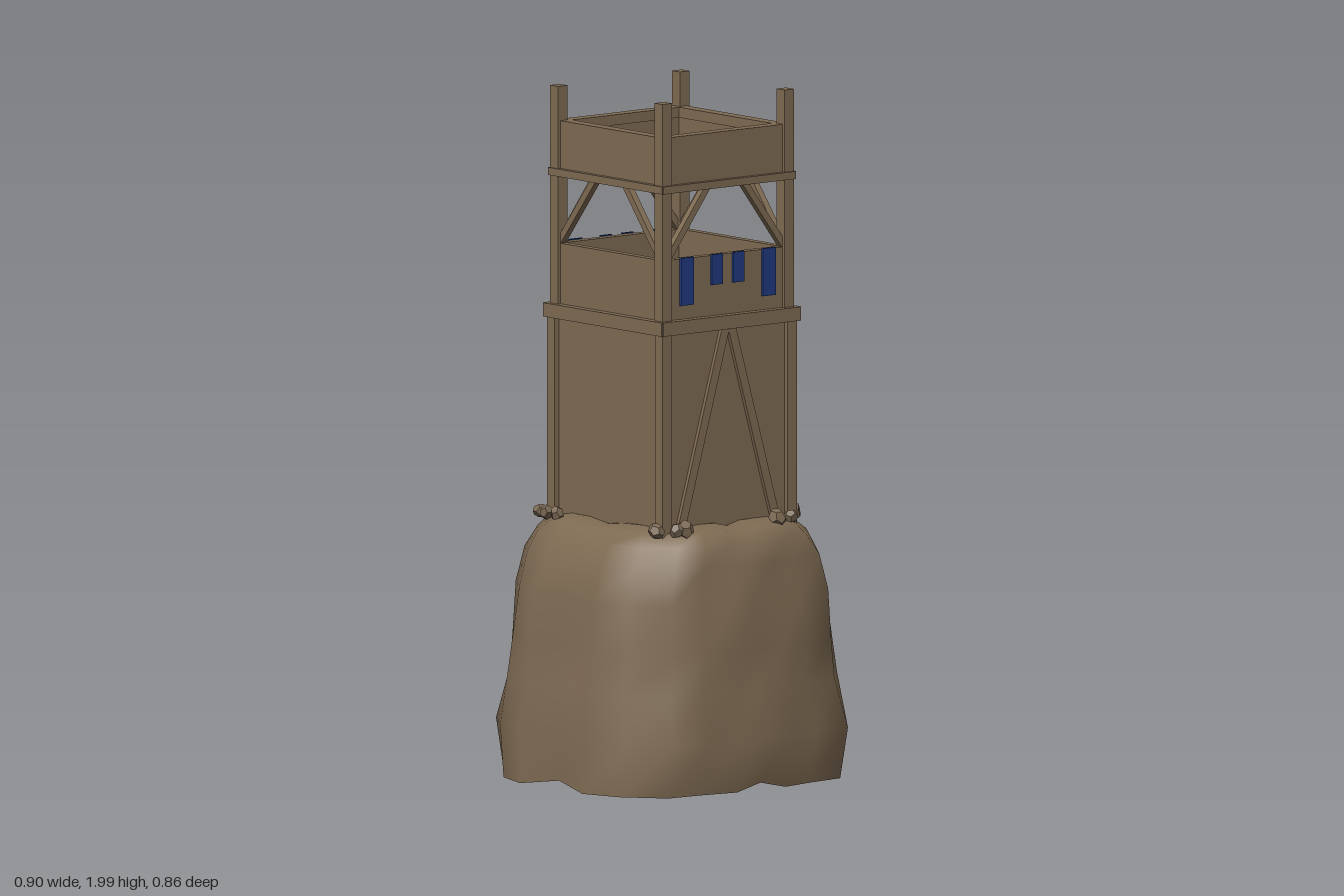
import * as THREE from 'three';

const wood = new THREE.MeshStandardMaterial({ color: 0x7f6b53 });
wood.name = 'brown timber';
const earth = new THREE.MeshStandardMaterial({ color: 0x7f6b53, side: THREE.DoubleSide });
earth.name = 'brown earth';
const stone = new THREE.MeshStandardMaterial({ color: 0x7a6853, flatShading: true });
stone.name = 'brown stone';
const cloth = new THREE.MeshStandardMaterial({ color: 0x1f3a80 });
cloth.name = 'blue cloth';

// Box given by its limits on each axis
function block(parent, name, x0, x1, y0, y1, z0, z1, mat = wood) {
  const m = new THREE.Mesh(new THREE.BoxGeometry(x1 - x0, y1 - y0, z1 - z0), mat);
  m.position.set((x0 + x1) / 2, (y0 + y1) / 2, (z0 + z1) / 2);
  m.name = name;
  parent.add(m);
}

// Slanted timber in a plane of constant z
function beam(parent, name, x0, y0, x1, y1, z, width, depth) {
  const m = new THREE.Mesh(
    new THREE.BoxGeometry(width, Math.hypot(x1 - x0, y1 - y0), depth), wood);
  m.position.set((x0 + x1) / 2, (y0 + y1) / 2, z);
  m.rotation.z = -Math.atan2(x1 - x0, y1 - y0);
  m.name = name;
  parent.add(m);
}

// Rocky hill: one mirrored outline, scaled level by level
function createHill() {
  const q = [[0.42, 0], [0.45, 0.15], [0.41, 0.28], [0.32, 0.395], [0.2, 0.408], [0.09, 0.43], [0, 0.425]];
  const r = [...q].reverse();
  const outline = [
    ...q,
    ...r.slice(1).map(([x, z]) => [-x, z]),
    ...q.slice(1).map(([x, z]) => [-x, -z]),
    ...r.slice(1, 6).map(([x, z]) => [x, -z]),
  ];
  const levels = [ // height, x scale, z scale
    [0.01, 1, 0.935], [0.16, 1, 1], [0.3, 0.965, 0.91], [0.42, 0.915, 0.935], [0.56, 0.905, 0.88],
    [0.66, 0.83, 0.85], [0.72, 0.745, 0.81], [0.755, 0.67, 0.73], [0.77, 0.57, 0.6],
  ];
  const n = outline.length, pos = [], index = [];
  levels.forEach(([y, sx, sz], i) => outline.forEach(([x, z], j) => {
    const ripple = i === 0 ? 1 : 1 + 0.012 * Math.sin(j * 2.1 + i * 1.7);
    const middle = Math.min(Math.abs(x), Math.abs(z)) < 0.01;
    const lift = middle ? (i === 0 ? 0.02 : i > 6 ? -0.012 : 0) : 0;
    pos.push(x * sx * ripple, y + lift, z * sz * ripple);
  }));
  pos.push(0, 0.755, 0);
  const last = levels.length - 1;
  for (let j = 0; j < n; j++) {
    const k = (j + 1) % n;
    for (let i = 0; i < last; i++) {
      const a = i * n + j, b = i * n + k;
      index.push(a, a + n, b, b, a + n, b + n);
    }
    index.push(last * n + j, n * levels.length, last * n + k);
  }
  const g = new THREE.BufferGeometry();
  g.setAttribute('position', new THREE.Float32BufferAttribute(pos, 3));
  g.setIndex(index);
  g.computeVertexNormals();
  const hill = new THREE.Mesh(g, earth);
  hill.name = 'hill';
  return hill;
}

// One face of the tower, half width w, at distance d from the axis
function createSide(w, d, decorated) {
  const g = new THREE.Group();
  const p = w - 0.035;
  block(g, 'lowerWall', -p, p, 0.7, decorated ? 1.335 : 1.325, d - 0.035, d - 0.015);
  block(g, 'middleBand', -w - 0.006, w + 0.006, 1.33, 1.37, d - 0.022, d + 0.01);
  block(g, 'middleWall', -p, p, 1.37, 1.545, d - 0.04, d - 0.015);
  block(g, 'upperBand', -w + 0.004, w - 0.004, 1.74, 1.762, d - 0.035, d);
  block(g, 'upperWall', -p, p, 1.76, 1.9, d - 0.04, d - 0.015);
  block(g, 'upperRail', -p, p, 1.87, 1.9, d - 0.052, d - 0.035);
  for (const s of [-1, 1]) {
    beam(g, 'upperBrace', s * (w - 0.035), 1.55, s * 0.065, 1.75, d - 0.025, 0.02, 0.02);
    if (!decorated) continue;
    beam(g, 'lowerBrace', s * 0.18, 0.75, s * 0.012, 1.33, d - 0.012, 0.028, 0.016);
    // Banners hang over the wall, long ones outside
    const z = d - 0.015;
    const a = s < 0 ? -0.175 : 0.13;
    block(g, 'longBanner', a, a + 0.047, 1.41, 1.548, z, z + 0.008, cloth);
    const b = s < 0 ? -0.06 : 0.02;
    block(g, 'shortBanner', b, b + 0.041, 1.46, 1.548, z, z + 0.008, cloth);
  }
  return g;
}

// Small stones around the foot of the tower: x, z, size
function createRocks() {
  const g = new THREE.Group();
  g.name = 'rocks';
  const spots = [
    [-0.265, -0.27, 0.022], [-0.272, -0.235, 0.022], [-0.27, -0.19, 0.022], [0.11, -0.28, 0.022],
    [0.145, -0.283, 0.022], [0.19, -0.285, 0.022], [0.238, -0.28, 0.026], [0.272, -0.24, 0.024],
    [0.272, 0.21, 0.03], [0.21, 0.28, 0.022], [0.16, 0.28, 0.028], [-0.275, 0.262, 0.025],
    [-0.22, 0.287, 0.022], [-0.19, 0.288, 0.028],
  ];
  spots.forEach(([x, z, size], i) => {
    const rock = new THREE.Mesh(new THREE.DodecahedronGeometry(size), stone);
    rock.position.set(x, 0.768, z);
    rock.rotation.set(i * 1.3, i * 2.1, i * 0.7);
    rock.scale.set(1.1, 0.9, 1);
    rock.name = 'rock';
    g.add(rock);
  });
  return g;
}

export function createModel() {
  const model = new THREE.Group();
  model.name = 'watchtower';
  model.add(createHill(), createRocks());

  const tower = new THREE.Group();
  tower.name = 'tower';
  ['frontSide', 'leftSide', 'backSide', 'rightSide'].forEach((name, i) => {
    const face = i % 2 === 0;
    const side = face ? createSide(0.25, 0.26, true) : createSide(0.26, 0.25, false);
    side.rotation.y = i * Math.PI / 2;
    side.name = name;
    tower.add(side);
  });

  // Corner posts, thicker below the middle band
  for (const sx of [-1, 1]) for (const sz of [-1, 1]) {
    const post = new THREE.Group();
    post.name = 'cornerPost';
    block(post, 'lowerPost', -0.0175, 0.0175, 0.7, 1.34, -0.0175, 0.0175);
    post.children[0].position.x = sx * 0.2325;
    post.children[0].position.z = sz * 0.2425;
    block(post, 'upperPost', -0.018, 0.018, 1.34, 2, -0.018, 0.018);
    post.children[1].position.x = sx * 0.227;
    post.children[1].position.z = sz * 0.235;
    tower.add(post);
  }

  // Platforms
  block(tower, 'middleFloor', -0.225, 0.225, 1.345, 1.37, -0.235, 0.235);
  block(tower, 'upperFloor', -0.225, 0.225, 1.745, 1.765, -0.235, 0.235);
  model.add(tower);
  return model;
}
